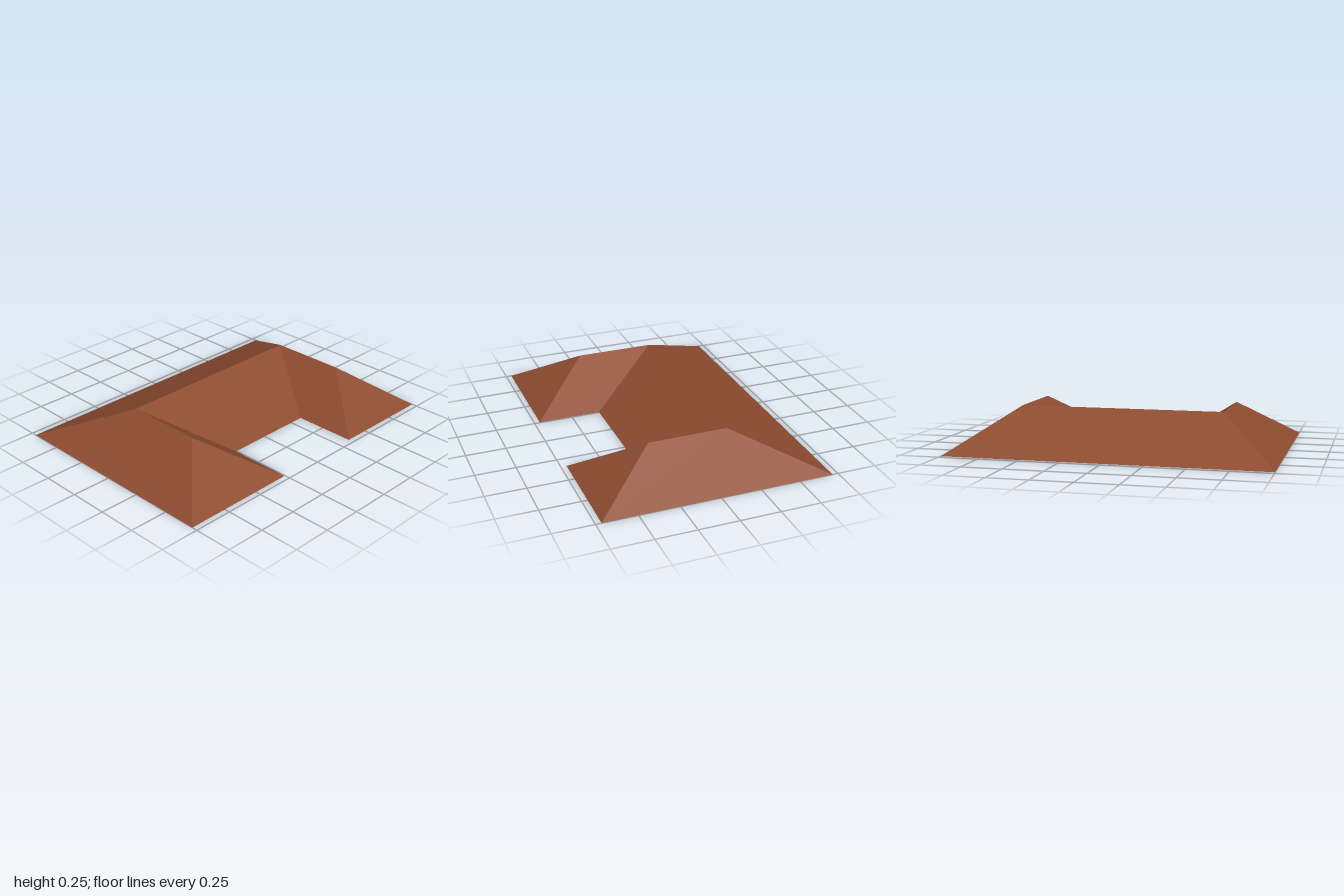
import * as THREE from 'three';

const HEIGHT = 0.25;

// Ridge ends as [x, z]
const FRONT_R = [-0.625, 0.32], BACK_R = [-0.625, -0.175];
const FRONT_L = [0.67, 0.32], BACK_L = [0.67, -0.175];

// Eave corners around the U-shaped plan, each with the ridge end its hip or valley climbs to
const CORNERS = [
  { eave: [-1, 0.715], ridge: FRONT_R },
  { eave: [-0.255, 0.715], ridge: FRONT_R },
  { eave: [-0.255, 0.315], ridge: BACK_R },
  { eave: [0.34, 0.315], ridge: BACK_L },
  { eave: [0.34, 0.715], ridge: FRONT_L },
  { eave: [1, 0.715], ridge: FRONT_L },
  { eave: [1, -0.715], ridge: BACK_L },
  { eave: [-1, -0.715], ridge: BACK_R },
];

const SLOPE_NAMES = [
  'rightWingHipEnd', 'rightWingInnerSlope', 'courtyardSlope', 'leftWingInnerSlope',
  'leftWingHipEnd', 'leftOuterSlope', 'backSlope', 'rightOuterSlope',
];

// One flat roof plane between two neighbouring corners: a triangle at hip ends, else a quad
function slopeGeometry(a, b) {
  const low = ([x, z]) => [x, 0, z];
  const high = ([x, z]) => [x, HEIGHT, z];
  const points = [low(a.eave), low(b.eave), high(b.ridge)];
  if (a.ridge !== b.ridge) points.push(low(a.eave), high(b.ridge), high(a.ridge));
  const geometry = new THREE.BufferGeometry();
  geometry.setAttribute('position', new THREE.Float32BufferAttribute(points.flat(), 3));
  geometry.computeVertexNormals();
  return geometry;
}

export function createModel() {
  const roof = new THREE.Group();
  roof.name = 'hippedRoof';
  const tile = new THREE.MeshStandardMaterial({ color: 0x8e4c30 });
  tile.name = 'terracotta brown';

  const add = (name, geometry) => {
    const mesh = new THREE.Mesh(geometry, tile);
    mesh.name = name;
    roof.add(mesh);
  };

  // Sloping roof planes
  CORNERS.forEach((corner, i) => {
    add(SLOPE_NAMES[i], slopeGeometry(corner, CORNERS[(i + 1) % CORNERS.length]));
  });

  // Flat underside, facing down
  const plan = new THREE.Shape(CORNERS.map(({ eave }) => new THREE.Vector2(...eave)));
  add('underside', new THREE.ShapeGeometry(plan).rotateX(Math.PI / 2));

  return roof;
}
